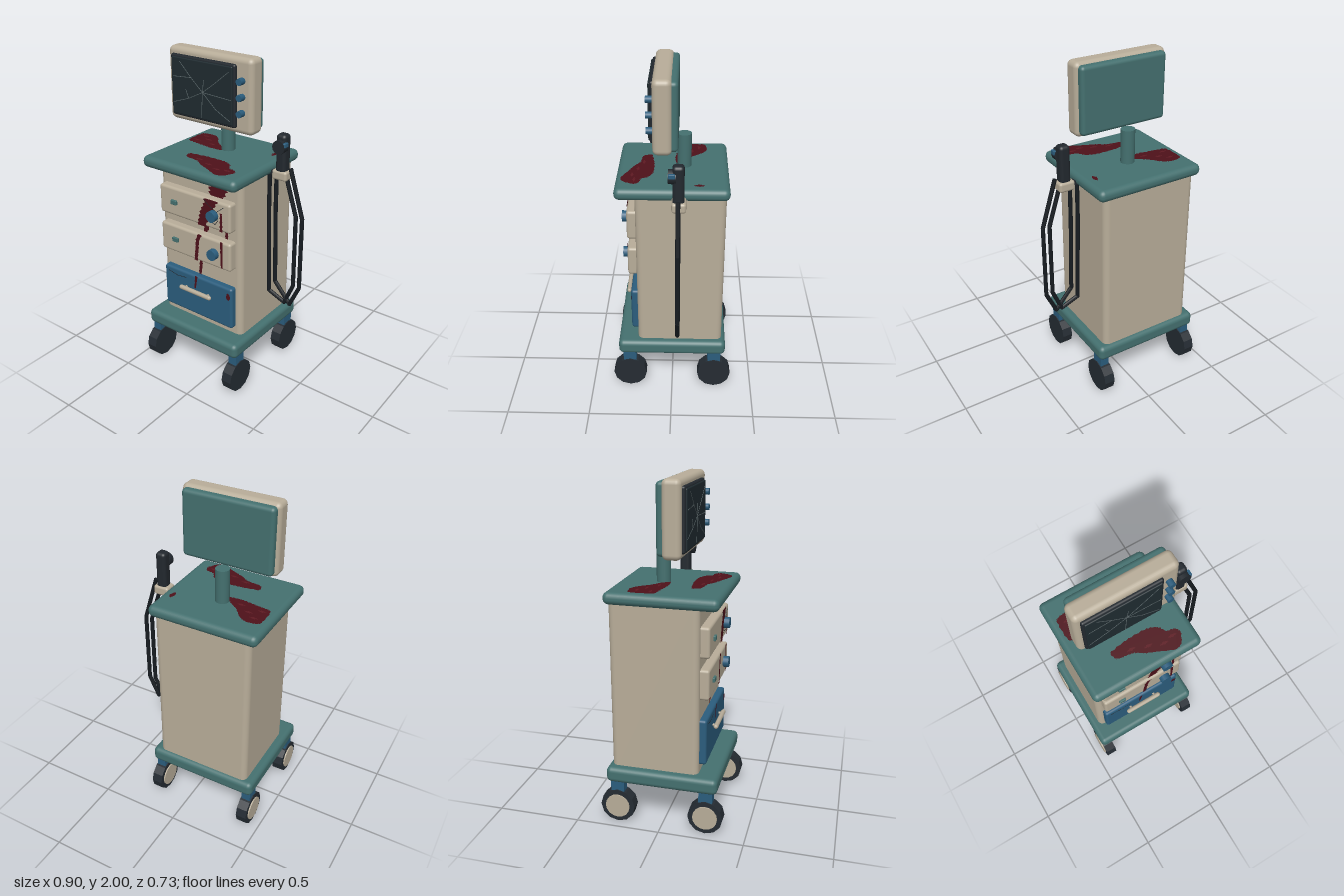
import * as THREE from 'three';
import { RoundedBoxGeometry } from 'three/addons/geometries/RoundedBoxGeometry.js';

const mat = (color, extra = {}) => new THREE.MeshStandardMaterial({ color, ...extra });
const beige = mat(0xb8ad99), teal = mat(0x44706f), blue = mat(0x2b5d7d), dark = mat(0x22282e);
const rubber = mat(0x252c33, { flatShading: true }), cable = mat(0x161b20, { flatShading: true });
const screenMat = mat(0x1f2b30), crackMat = mat(0x5c686b);
const blood = mat(0x4e111a, { side: THREE.DoubleSide }), clot = mat(0x5e1a22, { side: THREE.DoubleSide });

export function createModel() {
  const root = new THREE.Group();
  root.name = 'medicalCart';

  const add = (name, geo, material, x = 0, y = 0, z = 0) => {
    const m = new THREE.Mesh(geo, material);
    m.name = name;
    m.position.set(x, y, z);
    root.add(m);
    return m;
  };
  // Rounded box given by its extents on each axis
  const block = (name, [x0, x1], [y0, y1], [z0, z1], r, material) =>
    add(name, new RoundedBoxGeometry(x1 - x0, y1 - y0, z1 - z0, 3, r), material,
      (x0 + x1) / 2, (y0 + y1) / 2, (z0 + z1) / 2);
  // Cylinder whose axis points along z
  const dial = (name, x, y, z0, z1, r, material, sides = 16) => {
    const g = new THREE.CylinderGeometry(r, r, z1 - z0, sides).rotateX(Math.PI / 2);
    return add(name, g, material, x, y, (z0 + z1) / 2);
  };
  // Thin raised line on a front face
  const scratch = (name, z, x0, y0, x1, y1, material = crackMat) => {
    const g = new THREE.BoxGeometry(Math.hypot(x1 - x0, y1 - y0), 0.003, 0.002);
    add(name, g, material, (x0 + x1) / 2, (y0 + y1) / 2, z).rotation.z = Math.atan2(y1 - y0, x1 - x0);
  };

  // Cabinet and its two plates
  block('cabinet', [-0.4, 0.195], [0.31, 1.37], [-0.305, 0.21], 0.035, beige);
  block('basePlate', [-0.45, 0.24], [0.255, 0.35], [-0.33, 0.33], 0.03, teal);
  block('topPlate', [-0.44, 0.23], [1.33, 1.4], [-0.322, 0.322], 0.032, teal);

  // Casters, each with its hub cap on the same side
  for (const x of [-0.408, 0.198]) {
    for (const z of [-0.263, 0.263]) {
      add('casterFork', new THREE.BoxGeometry(0.055, 0.1, 0.08), blue, x, 0.22, z);
      add('wheel', new THREE.CylinderGeometry(0.103, 0.103, 0.066, 12).rotateZ(Math.PI / 2), rubber, x, 0.104, z);
      add('hubCap', new THREE.CylinderGeometry(0.073, 0.073, 0.01, 16).rotateZ(Math.PI / 2), beige, x - 0.036, 0.104, z);
    }
  }

  // Two equipment drawers with knob and indicator
  for (const y of [1.135, 0.89]) {
    block('drawer', [-0.365, 0.155], [y - 0.09, y + 0.09], [0.17, 0.262], 0.016, beige);
    dial('drawerKnob', 0.04, y, 0.25, 0.295, 0.033, blue);
    block('indicator', [-0.273, -0.23], [y - 0.014, y + 0.014], [0.25, 0.275], 0.004, teal);
  }

  // Lower drawer with bar handle
  block('lowerDrawer', [-0.365, 0.155], [0.4, 0.677], [0.17, 0.25], 0.016, blue);
  add('drawerHandle', new THREE.CapsuleGeometry(0.014, 0.215, 4, 10).rotateZ(Math.PI / 2), beige, -0.105, 0.577, 0.273);
  for (const x of [-0.19, -0.02]) dial('handleMount', x, 0.577, 0.24, 0.27, 0.008, beige, 8);

  // Monitor on its post
  add('monitorPost', new THREE.CylinderGeometry(0.041, 0.041, 0.23, 20), teal, -0.105, 1.485, -0.065);
  block('monitorShell', [-0.395, 0.185], [1.58, 2], [0, 0.106], 0.03, beige);
  block('monitorBack', [-0.378, 0.168], [1.595, 1.985], [-0.033, 0.05], 0.022, teal);
  block('screenFrame', [-0.362, 0.085], [1.613, 1.962], [0.08, 0.124], 0.012, dark);
  block('screen', [-0.35, 0.072], [1.627, 1.95], [0.1, 0.132], 0.006, screenMat);
  for (const y of [1.88, 1.793, 1.705]) dial('monitorKnob', 0.122, y, 0.1, 0.142, 0.019, blue, 12);

  // Cracks spreading over the screen
  const cracks = [
    [-0.13, 1.78, -0.23, 1.73], [-0.23, 1.73, -0.345, 1.69], [-0.13, 1.78, -0.21, 1.85],
    [-0.21, 1.85, -0.29, 1.93], [-0.13, 1.78, -0.12, 1.85], [-0.13, 1.78, -0.05, 1.84],
    [-0.05, 1.84, 0.05, 1.92], [-0.13, 1.78, 0.065, 1.77], [-0.13, 1.78, -0.04, 1.7],
    [-0.04, 1.7, 0.06, 1.65], [-0.13, 1.78, -0.14, 1.635], [-0.21, 1.85, -0.34, 1.84],
    [-0.23, 1.73, -0.25, 1.78],
  ];
  cracks.forEach(c => scratch('screenCrack', 0.1325, ...c));
  [[0, 1.19, 0.06, 1.16], [0.06, 1.16, 0.11, 1.2], [0.0, 1.1, 0.05, 1.08], [0.05, 1.08, 0.07, 1.11], [-0.03, 1.22, 0.0, 1.19]]
    .forEach(c => scratch('drawerCrack', 0.2635, ...c, dark));
  [[-0.33, 0.645, -0.26, 0.632], [-0.26, 0.632, -0.19, 0.64]]
    .forEach(c => scratch('lowerDrawerScratch', 0.2505, ...c, dark));

  // Probe in its side holder
  block('probeHolder', [0.245, 0.342], [1.32, 1.378], [-0.08, 0], 0.015, beige);
  add('holderArm', new THREE.BoxGeometry(0.08, 0.025, 0.035), dark, 0.22, 1.35, -0.038);
  block('probeGrip', [0.264, 0.328], [1.36, 1.588], [-0.07, -0.005], 0.02, dark);
  dial('probeHead', 0.298, 1.522, -0.025, 0.018, 0.04, dark, 12);
  block('probeButton', [0.315, 0.341], [1.525, 1.55], [-0.02, 0.016], 0.004, blue);

  // Hanging cables with angular bends
  const hang = pts => {
    const path = new THREE.CurvePath();
    const v = pts.map(([x, y]) => new THREE.Vector3(x, y, -0.036));
    for (let i = 1; i < v.length; i++) path.add(new THREE.LineCurve3(v[i - 1], v[i]));
    for (let i = 1; i < v.length; i++) {
      const len = v[i].distanceTo(v[i - 1]);
      const part = new THREE.CylinderGeometry(0.0125, 0.0125, len, 8);
      const m = add('cable', part, cable);
      m.position.copy(v[i]).add(v[i - 1]).multiplyScalar(0.5);
      m.quaternion.setFromUnitVectors(new THREE.Vector3(0, 1, 0), v[i].clone().sub(v[i - 1]).normalize());
      if (i < v.length - 1) add('cableBend', new THREE.SphereGeometry(0.0125, 8, 6), cable).position.copy(v[i]);
    }
  };
  hang([[0.212, 1.345], [0.212, 1.1], [0.226, 0.565], [0.337, 0.52], [0.395, 0.655], [0.395, 1.11], [0.325, 1.335]]);
  hang([[0.258, 1.335], [0.258, 1.1], [0.268, 0.645], [0.375, 0.52], [0.437, 0.655], [0.437, 1.11], [0.35, 1.395]]);

  // Stains lying on the top plate, outlines as x, z pairs
  const pool = (pts, y, material, name) => {
    const curve = new THREE.CatmullRomCurve3(pts.map(([x, z]) => new THREE.Vector3(x, -z, 0)), true, 'catmullrom', 0.3);
    const outline = curve.getPoints(90).map((p, i) =>
      new THREE.Vector2(p.x + 0.003 * Math.sin(i * 2.3), p.y + 0.003 * Math.cos(i * 3.1)));
    add(name, new THREE.ShapeGeometry(new THREE.Shape(outline)).rotateX(-Math.PI / 2), material, 0, y, 0);
  };
  pool([[-0.395, -0.175], [-0.36, -0.195], [-0.31, -0.197], [-0.265, -0.17], [-0.215, -0.11], [-0.155, -0.065],
    [-0.125, -0.02], [-0.2, -0.01], [-0.3, -0.025], [-0.39, -0.045]], 1.402, blood, 'topStain');
  pool([[-0.235, 0.13], [-0.225, 0.175], [-0.19, 0.185], [-0.13, 0.193], [-0.08, 0.225], [-0.01, 0.255], [0.075, 0.292],
    [0.12, 0.277], [0.15, 0.22], [0.135, 0.188], [0.085, 0.175], [0.06, 0.135], [0, 0.11], [-0.12, 0.11]], 1.402, blood, 'topStain');
  pool([[0.165, -0.18], [0.178, -0.155], [0.165, -0.12], [0.15, -0.15]], 1.402, blood, 'topStain');
  for (const [x, z] of [[-0.34, -0.15], [-0.29, -0.11], [-0.35, -0.07], [-0.22, -0.06], [-0.13, 0.17], [-0.04, 0.2], [0.04, 0.23], [0.1, 0.215]])
    pool([[x - 0.025, z], [x, z - 0.008], [x + 0.025, z], [x, z + 0.008]], 1.4035, clot, 'stainClot');

  // Runs down the front, rows of y, left x, right x, laid on each face they cross
  const faces = [[1.225, 1.33, 0.2125], [1.045, 1.225, 0.2635], [0.98, 1.045, 0.2125],
    [0.8, 0.98, 0.2635], [0.677, 0.8, 0.2125], [0.4, 0.677, 0.2515]];
  const edge = (rows, y, k) => {
    const i = Math.max(1, rows.findIndex(r => r[0] <= y));
    const t = (rows[i - 1][0] - y) / (rows[i - 1][0] - rows[i][0]);
    return THREE.MathUtils.lerp(rows[i - 1][k], rows[i][k], t);
  };
  const run = rows => {
    for (const [lo, hi, z] of faces) {
      const top = Math.min(hi, rows[0][0]), bottom = Math.max(lo, rows.at(-1)[0]);
      if (top <= bottom) continue;
      const n = Math.ceil((top - bottom) / 0.01);
      const g = new THREE.PlaneGeometry(1, 1, 1, n), p = g.attributes.position;
      for (let i = 0; i < p.count; i++) {
        const y = THREE.MathUtils.lerp(bottom, top, p.getY(i) + 0.5), k = p.getX(i) < 0 ? 1 : 2;
        const wobble = 0.1 * (edge(rows, y, 2) - edge(rows, y, 1)) * Math.sin(y * 230 + k * 2);
        p.setXYZ(i, edge(rows, y, k) + wobble, y, z);
      }
      add('frontStain', g, blood);
    }
  };
  run([[1.33, -0.015, 0.1], [1.26, -0.03, 0.09], [1.2, -0.025, 0.055], [1.14, -0.055, 0.02], [1.06, -0.075, -0.015],
    [1.0, -0.07, -0.04], [0.94, -0.095, -0.07], [0.8, -0.108, -0.085], [0.68, -0.12, -0.1], [0.59, -0.127, -0.117]]);
  run([[1.16, 0.085, 0.1], [1.0, 0.083, 0.103], [0.81, 0.088, 0.1]]);
  run([[0.645, 0.125, 0.132], [0.63, 0.115, 0.146], [0.61, 0.115, 0.143], [0.597, 0.126, 0.133]]);

  return root;
}
